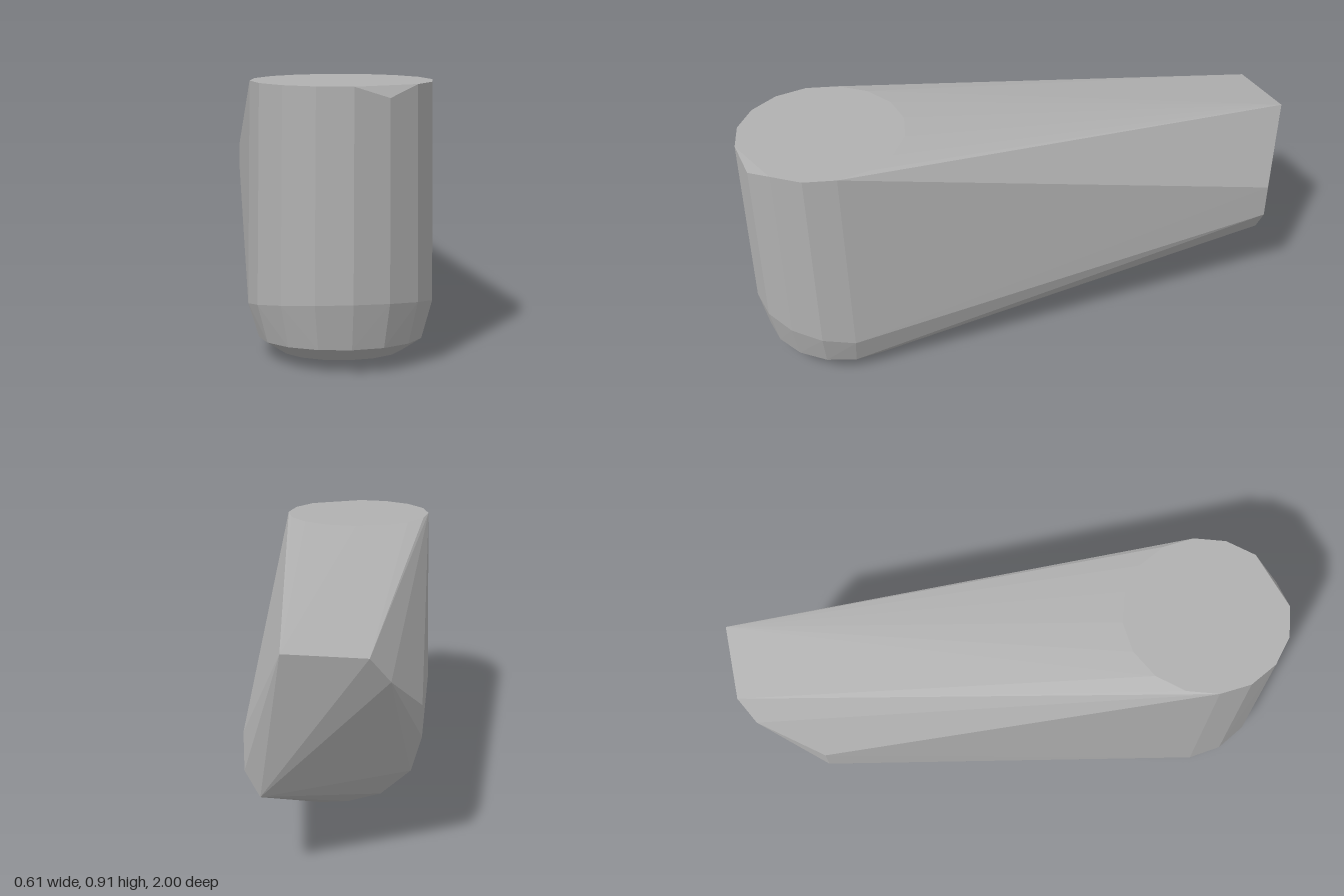
import * as THREE from 'three';
import { ConvexGeometry } from 'three/addons/geometries/ConvexGeometry.js';

export function createModel() {
  const group = new THREE.Group();
  const grey = new THREE.MeshStandardMaterial({ color: 0xb0b0b0 });
  grey.name = 'grey';

  const points = [];
  const add = (x, y, z) => points.push(new THREE.Vector3(x, y, z));

  // Rounded front end: rings [radius x, radius z, centre z, height, forward rise]
  const rings = [
    [0.297, 0.297, 0.70, 0.912, 0],
    [0.307, 0.305, 0.695, 0.18, 0.20],
    [0.272, 0.275, 0.695, 0.065, 0.09],
    [0.205, 0.215, 0.695, 0.022, 0.085],
  ];
  const sides = 16;
  for (const [rx, rz, cz, y, rise] of rings) {
    for (let i = 0; i < sides; i++) {
      const a = (i / sides) * Math.PI * 2;
      const dz = rz * Math.cos(a);
      // one chipped corner on the top rim
      const chip = rise === 0 && i === 1 ? 0.037 : 0;
      add(rx * Math.sin(a), y + rise * dz - chip, cz + dz);
    }
  }

  // Faceted rear end
  const rear = [
    [0.17, 0.80, -1], [-0.10, 0.78, -0.97], [-0.165, 0.69, -0.92],
    [0.295, 0.52, -0.92], [0.295, 0.39, -0.92], [0.247, 0.30, -0.92],
    [-0.265, 0.54, -0.70], [-0.265, 0.43, -0.70], [-0.23, 0.31, -0.70],
    [-0.13, 0.225, -0.70], [-0.02, 0.195, -0.70], [0.07, 0.19, -0.70],
  ];
  for (const p of rear) add(...p);

  // Single solid wrapped around both ends
  const body = new THREE.Mesh(new ConvexGeometry(points), grey);
  body.name = 'wedgeBody';
  group.add(body);
  return group;
}
